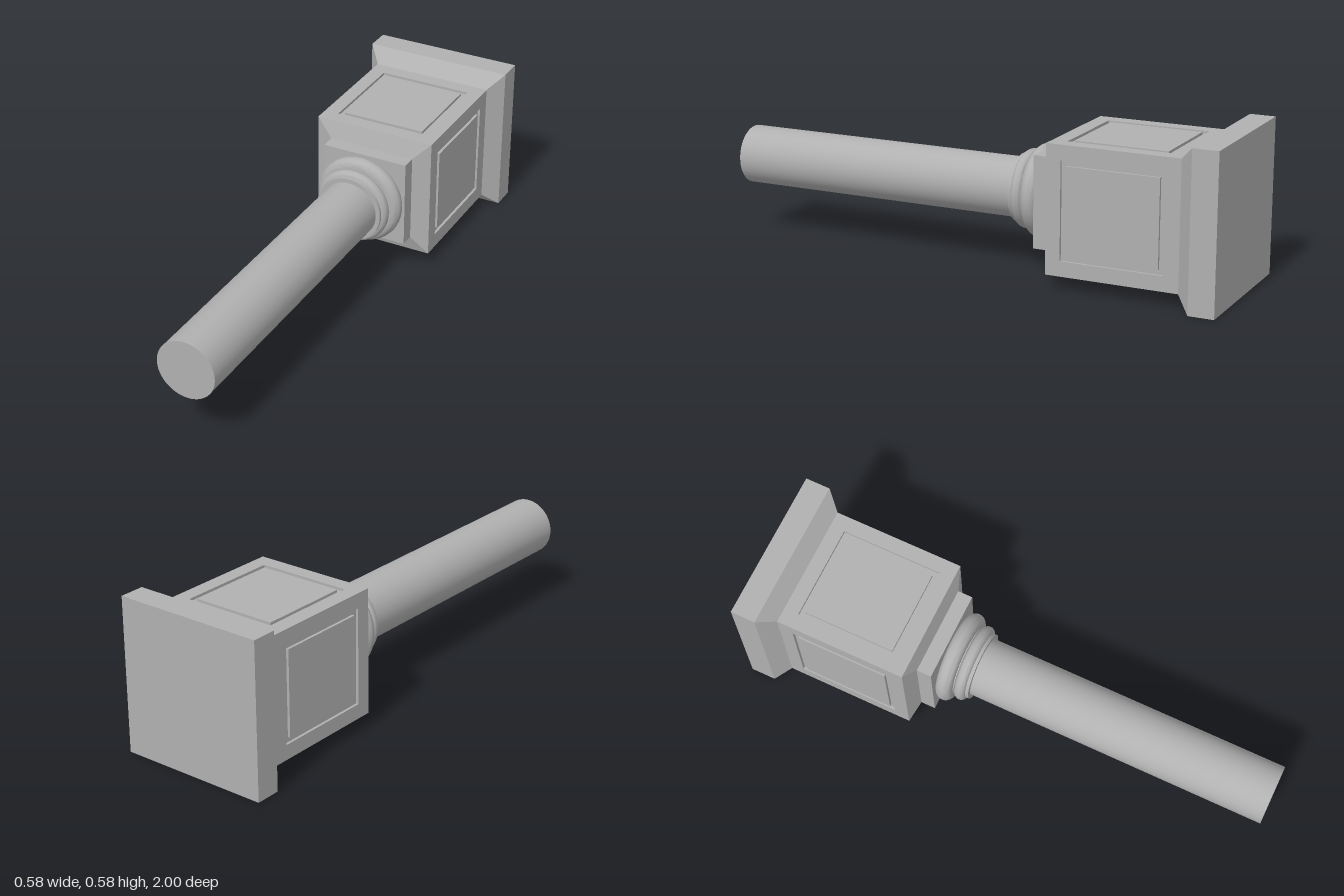
import * as THREE from 'three';
import { toCreasedNormals } from 'three/addons/utils/BufferGeometryUtils.js';

const AXIS_Y = 0.29;   // height of the column's axis
const DIE = 0.237;     // half width of the pedestal block
const DIE_BACK = -0.85, DIE_FRONT = -0.352;

// Skin over rectangular rings [halfWidth, halfHeight, z], with optional flat end caps
function rectLoft(rings, capStart, capEnd) {
  const pos = [];
  const corners = ([w, h, z]) => [[-w, -h, z], [w, -h, z], [w, h, z], [-w, h, z]];
  const quad = (a, b, c, d) => [a, b, c, a, c, d].forEach((p) => pos.push(...p));
  for (let i = 0; i < rings.length - 1; i++) {
    const a = corners(rings[i]), b = corners(rings[i + 1]);
    for (let k = 0; k < 4; k++) {
      const n = (k + 1) % 4;
      quad(a[k], a[n], b[n], b[k]);
    }
  }
  if (capStart) quad(...corners(rings[0]).reverse());
  if (capEnd) quad(...corners(rings[rings.length - 1]));
  const geometry = new THREE.BufferGeometry();
  geometry.setAttribute('position', new THREE.Float32BufferAttribute(pos, 3));
  geometry.computeVertexNormals();
  return geometry;
}

// Half-round moulding profile, back to front
function bead(z, major, minor) {
  const pts = [];
  for (let i = 0; i <= 12; i++) {
    const a = -Math.PI / 2 + (Math.PI * i) / 12;
    pts.push(new THREE.Vector2(major + minor * Math.cos(a), z + minor * Math.sin(a)));
  }
  return pts;
}

export function createModel() {
  const model = new THREE.Group();
  model.name = 'columnOnPedestal';
  const stone = new THREE.MeshStandardMaterial({ color: 0xb0b0b0 });
  stone.name = 'grey stone';

  const column = new THREE.Group();
  column.name = 'column';
  column.position.y = AXIS_Y;
  model.add(column);

  const add = (name, geometry, parent = column) => {
    const mesh = new THREE.Mesh(geometry, stone);
    mesh.name = name;
    parent.add(mesh);
    return mesh;
  };

  // Square foot with a chamfer up to the block
  add('pedestalFoot', rectLoft([
    [0.29, 0.29, -1], [0.29, 0.29, -0.905], [DIE, DIE, DIE_BACK],
  ], true, false));

  // Block sides, each with a rectangular groove around a flush panel
  const midZ = (DIE_BACK + DIE_FRONT) / 2;
  const halfL = (DIE_FRONT - DIE_BACK) / 2;
  const panelRings = [[0, 0], [0.056, 0], [0.056, -0.01], [0.075, -0.01], [0.075, 0]]
    .map(([inset, depth]) => [halfL - inset, DIE - inset, DIE + depth]);
  const panelGeometry = rectLoft(panelRings, false, true);
  for (let i = 0; i < 4; i++) {
    const side = new THREE.Group();
    side.name = 'pedestalSide' + (i + 1);
    side.rotation.z = (i * Math.PI) / 2;
    const panel = add('groovedPanel', panelGeometry, side);
    panel.rotation.y = Math.PI / 2;
    panel.position.z = midZ;
    column.add(side);
  }

  // Sloped cap and square plinth under the round base
  add('pedestalCapAndPlinth', rectLoft([
    [DIE, DIE, DIE_FRONT], [0.17, 0.17, -0.33], [0.17, 0.17, -0.274],
  ], false, true));

  // Round base mouldings and shaft, turned about the long axis
  const v = (r, z) => new THREE.Vector2(r, z);
  const turned = (name, points) => {
    const geometry = new THREE.LatheGeometry(points, 64);
    geometry.rotateX(Math.PI / 2);
    add(name, toCreasedNormals(geometry, 0.6));
  };
  turned('baseMouldings', [
    ...bead(-0.243, 0.141, 0.031),
    v(0.132, -0.212), v(0.132, -0.208),
    ...bead(-0.186, 0.124, 0.022),
    v(0.128, -0.164), v(0.128, -0.152), v(0.111, -0.152),
  ]);
  turned('shaft', [v(0.111, -0.16), v(0.111, 1), v(0, 1)]);

  return model;
}
